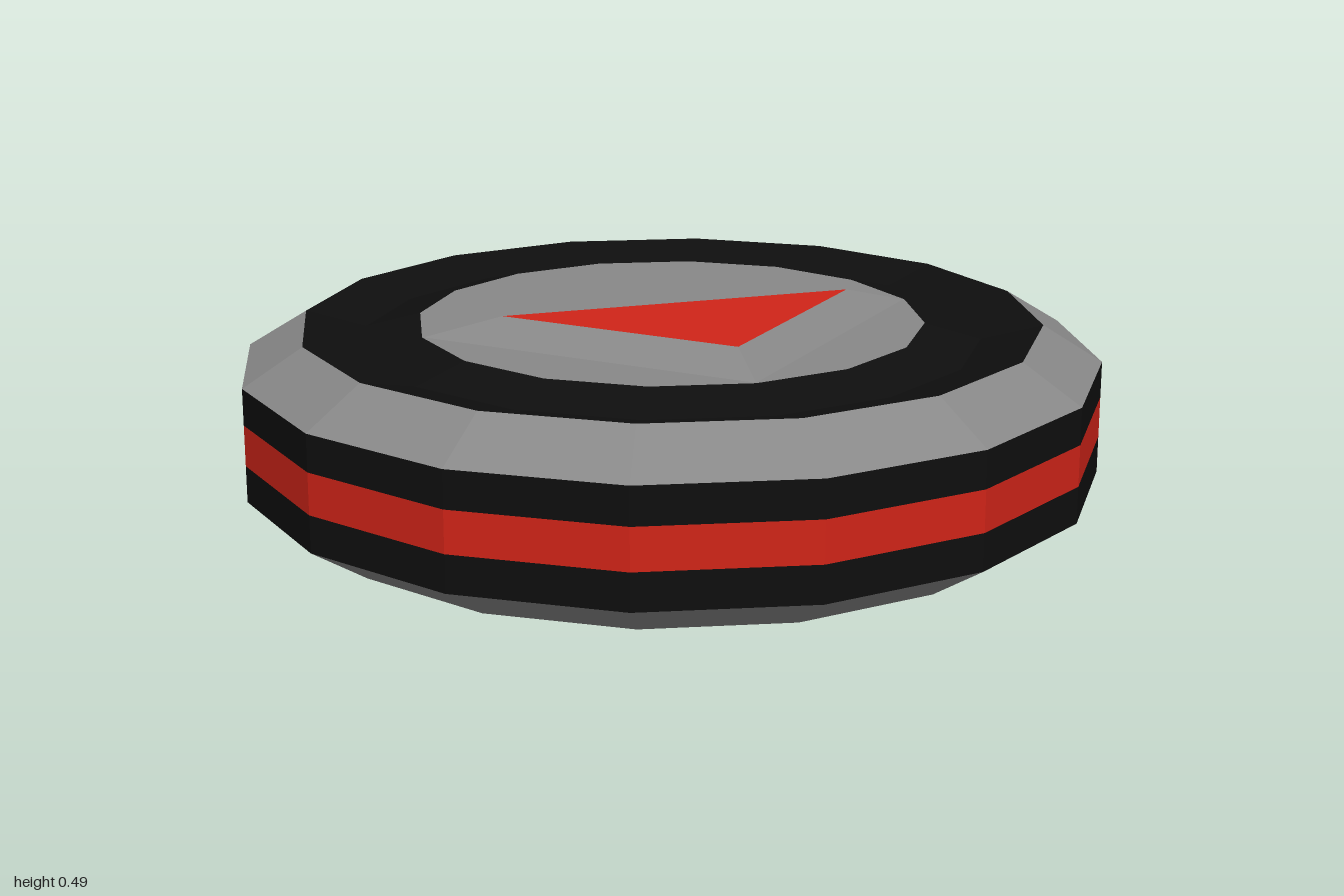
import * as THREE from 'three';

const makeMaterial = (color) => new THREE.MeshStandardMaterial({ color, flatShading: true });
const SIDES = 16;

export function createModel() {
  const grey = makeMaterial(0x888888);
  const black = makeMaterial(0x0e0e0e);
  const red = makeMaterial(0xd02418);
  const model = new THREE.Group();

  const add = (name, geometry, material) => {
    const mesh = new THREE.Mesh(geometry, material);
    mesh.name = name;
    model.add(mesh);
  };

  // Round body: bands of one turned profile, listed as [radius, height] from underside to top
  const bands = [
    ['underside', grey, [[0, 0.035], [0.71, 0.035], [0.86, 0], [1, 0.09]]],
    ['lowerRubberBand', black, [[1, 0.09], [1, 0.175]]],
    ['sideStripe', red, [[1, 0.175], [1, 0.27]]],
    ['upperRubberBand', black, [[1, 0.27], [1, 0.355]]],
    ['topBevel', grey, [[1, 0.355], [0.862, 0.44]]],
    ['topGroove', black, [[0.862, 0.44], [0.72, 0.405], [0.59, 0.44]]],
    ['topDisc', grey, [[0.59, 0.44], [0, 0.44]]],
  ];
  for (const [name, material, profile] of bands) {
    const points = profile.map(([r, y]) => new THREE.Vector2(r, y));
    add(name, new THREE.LatheGeometry(points, SIDES), material);
  }

  // Raised triangular marker: sloping grey sides and a red cap
  const triangle = (outer, inner, y) => [
    new THREE.Vector3(-inner, y, outer),
    new THREE.Vector3(outer, y, outer),
    new THREE.Vector3(outer, y, -inner),
  ];
  const base = triangle(0.415, 0.415, 0.44);
  const cap = triangle(0.335, 0.255, 0.49);
  const sides = [];
  for (let i = 0; i < 3; i++) {
    const j = (i + 1) % 3;
    sides.push(base[i], base[j], cap[j], base[i], cap[j], cap[i]);
  }
  const fromCorners = (corners) => {
    const geometry = new THREE.BufferGeometry().setFromPoints(corners);
    geometry.computeVertexNormals();
    return geometry;
  };
  add('markerSides', fromCorners(sides), grey);
  add('markerCap', fromCorners(cap), red);

  return model;
}
